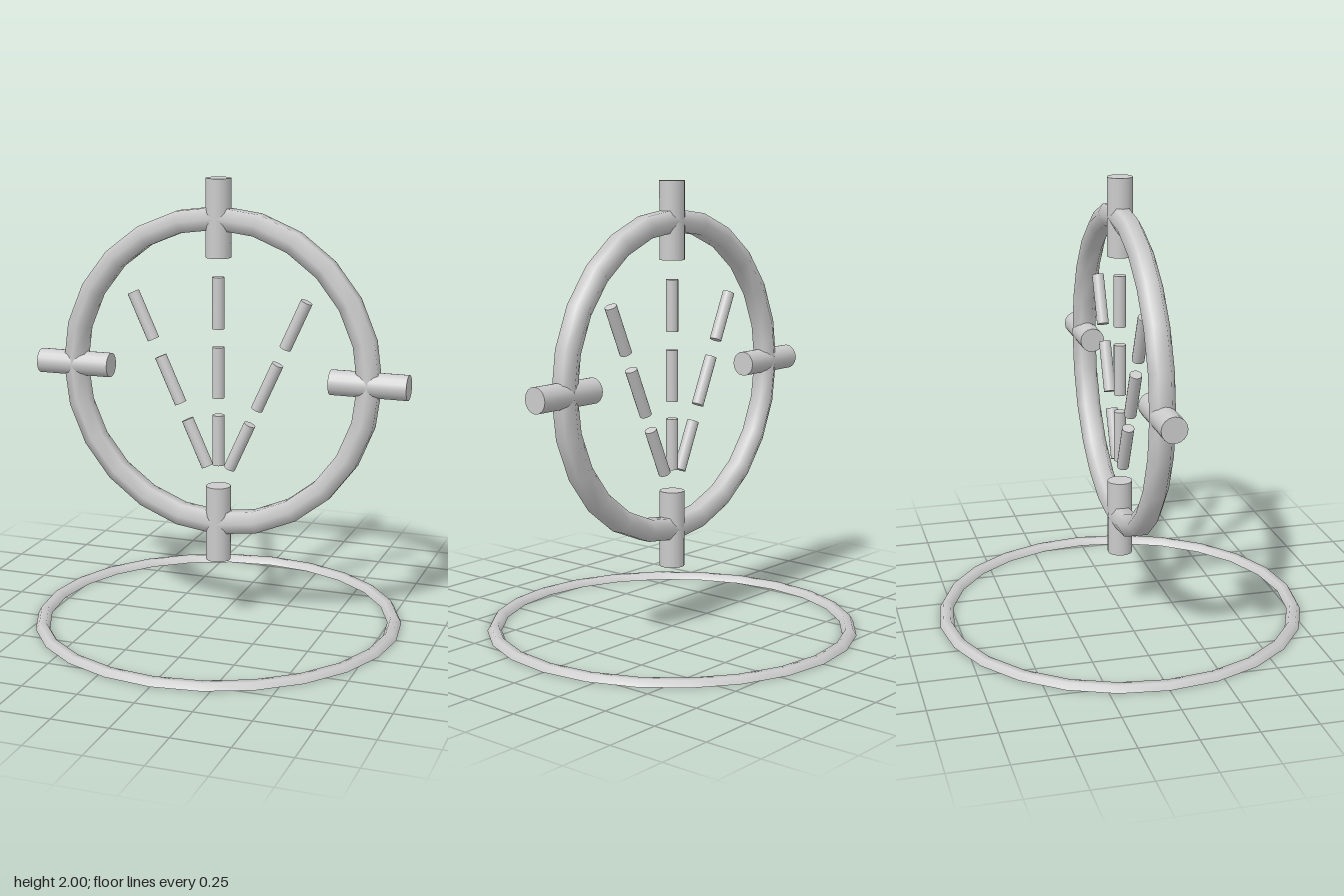
import * as THREE from 'three';
import { toCreasedNormals } from 'three/addons/utils/BufferGeometryUtils.js';

const CENTER_Y = 1.143;
const RING_R = 0.686;

export function createModel() {
  const model = new THREE.Group();
  const material = new THREE.MeshStandardMaterial({ color: 0xcccccc });

  const add = (name, geometry) => {
    const mesh = new THREE.Mesh(geometry, material);
    mesh.name = name;
    model.add(mesh);
    return mesh;
  };

  // Ring swept from a closed polygon section given by its corner angles
  const ring = (radius, tube, degrees) => {
    const points = degrees.map((d) => {
      const a = THREE.MathUtils.degToRad(d);
      return new THREE.Vector2(radius + tube * Math.cos(a), tube * Math.sin(a));
    });
    points.push(points[0].clone());
    return toCreasedNormals(new THREE.LatheGeometry(points, 24), 1.2);
  };

  // Base ring: half-hexagon section with a flat underside
  add('baseRing', ring(0.8, 0.032, [0, 60, 120, 180]));

  // Upright ring: hexagonal section with ridges on front and back
  const upright = add('uprightRing', ring(RING_R, 0.056, [-150, -90, -30, 30, 90, 150]));
  upright.rotation.x = Math.PI / 2;
  upright.position.y = CENTER_Y;

  // Four pegs crossing the upright ring
  const peg = new THREE.CylinderGeometry(0.056, 0.056, 0.343, 16);
  ['topPeg', 'leftPeg', 'bottomPeg', 'rightPeg'].forEach((name, i) => {
    const a = (i * Math.PI) / 2;
    const mesh = add(name, peg);
    mesh.position.set(RING_R * Math.sin(a), CENTER_Y + RING_R * Math.cos(a), 0);
    mesh.rotation.z = -a;
  });

  // Three dashed rays fanning out from just above the bottom peg
  const dash = new THREE.CylinderGeometry(0.027, 0.027, 0.229, 16);
  const rays = { rightRay: -0.426, middleRay: 0, leftRay: 0.426 };
  for (const [name, a] of Object.entries(rays)) {
    [0.24, 0.547, 0.857].forEach((d, i) => {
      const mesh = add(`${name}Dash${i + 1}`, dash);
      mesh.position.set(d * Math.sin(a), 0.6 + d * Math.cos(a), 0);
      mesh.rotation.z = -a;
    });
  }

  return model;
}
